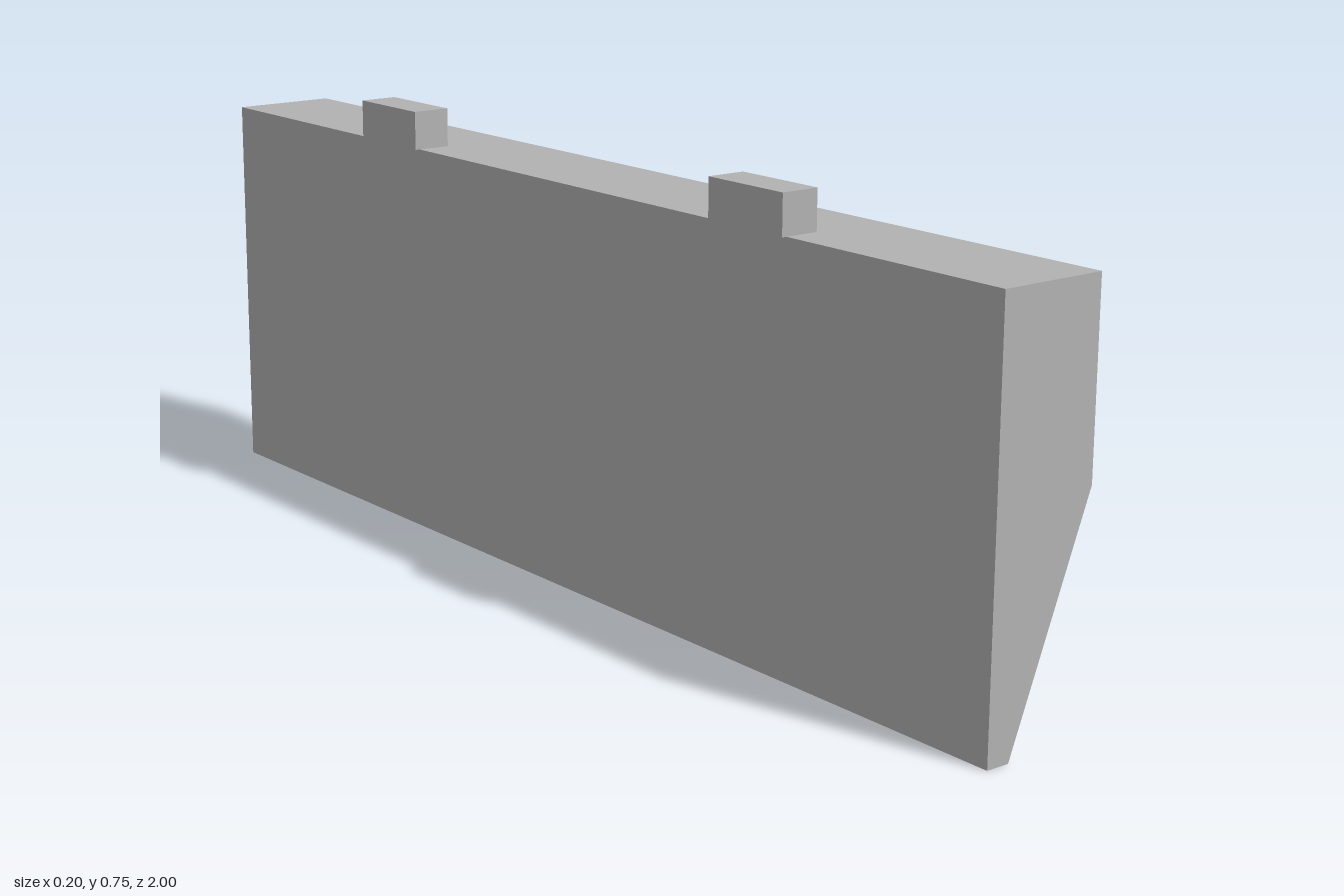
import * as THREE from 'three';

export function createModel() {
  const group = new THREE.Group();
  const grey = new THREE.MeshStandardMaterial({ color: 0xb2b2b2 });
  grey.name = 'plain grey';

  const add = (name, geometry) => {
    const mesh = new THREE.Mesh(geometry, grey);
    mesh.name = name;
    group.add(mesh);
    return mesh;
  };

  const back = -0.089, face = 0.0975, top = 0.682, bend = 0.378;
  const recess = face - 0.025; // floor of the vent slots

  // Wedge-bottomed body, notched to take the vented panel
  const profile = new THREE.Shape([
    [back, 0], [-0.048, 0], [face, bend], [recess, bend], [recess, top], [back, top],
  ].map(([x, y]) => new THREE.Vector2(x, y)));
  const body = new THREE.ExtrudeGeometry(profile, { depth: 2, bevelEnabled: false });
  add('body', body.translate(0, 0, -1));

  // Panel with three round-ended slots, drawn in (-z, y) and turned towards +x
  const panel = new THREE.Shape([
    [-1, bend], [1, bend], [1, top], [-1, top],
  ].map(([u, y]) => new THREE.Vector2(u, y)));
  const radius = 0.014, u0 = -0.461 + radius, u1 = 0.456 - radius;
  for (const y of [0.425, 0.475, 0.524]) {
    const slot = new THREE.Path();
    slot.absarc(u1, y, radius, -Math.PI / 2, Math.PI / 2, false);
    slot.absarc(u0, y, radius, Math.PI / 2, Math.PI * 1.5, false);
    slot.closePath();
    panel.holes.push(slot);
  }
  const panelGeometry = new THREE.ExtrudeGeometry(panel, {
    depth: face - recess, bevelEnabled: false, curveSegments: 10,
  });
  add('ventPanel', panelGeometry.rotateY(Math.PI / 2).translate(recess, 0, 0));

  // Mounting tabs along the back of the top
  for (const [name, z] of [['frontTab', 0.48], ['rearTab', -0.475]]) {
    add(name, new THREE.BoxGeometry(0.067, 0.066, 0.167)).position.set(-0.064, top + 0.033, z);
  }

  return group;
}
